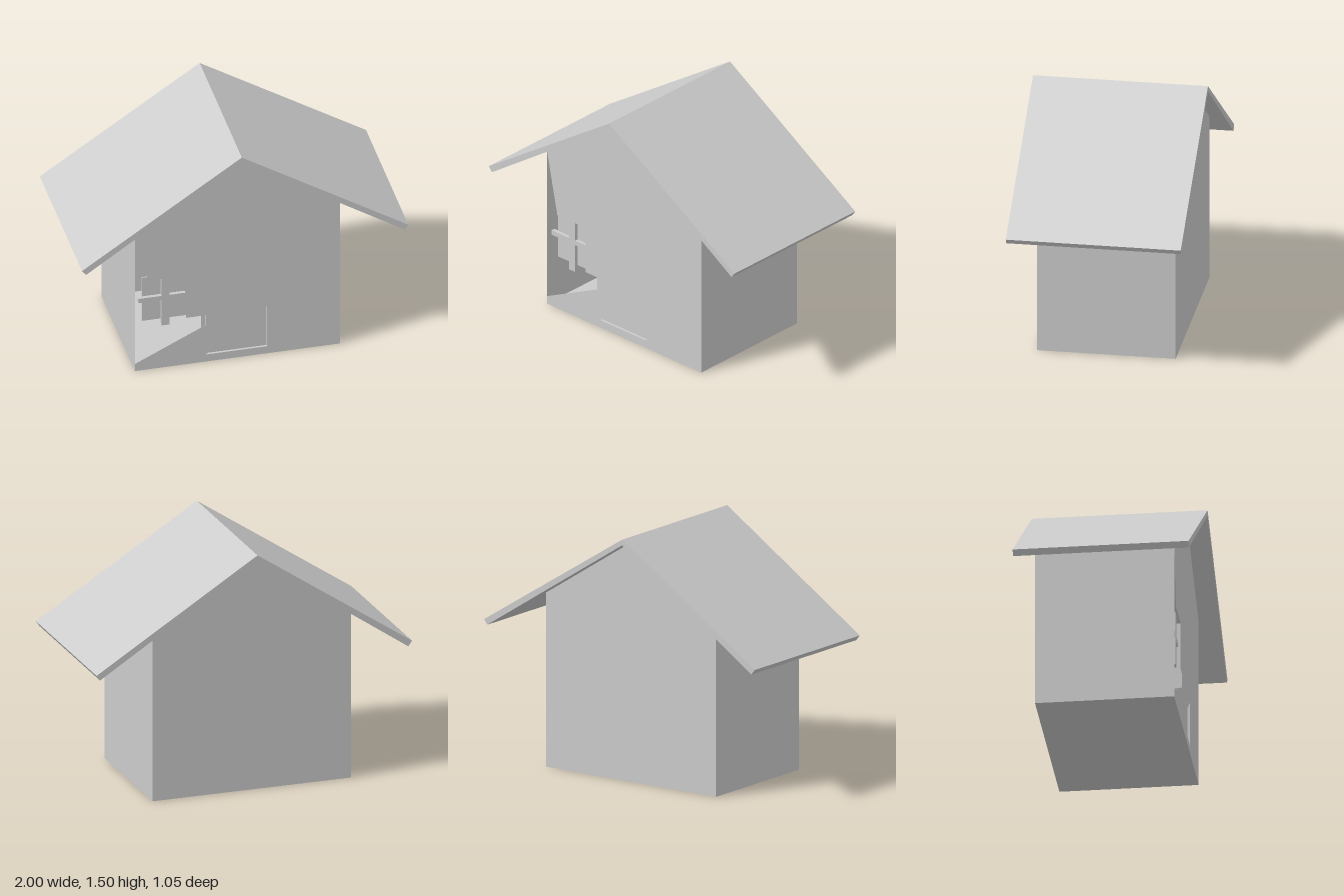
import * as THREE from 'three';

const FRONT = 0.4, BACK = -0.435;
const LEFT = -0.645, RIGHT = 0.612;

function polygon(points) {
  return new THREE.Shape(points.map(([x, y]) => new THREE.Vector2(x, y)));
}

export function createModel() {
  const group = new THREE.Group();
  const solid = new THREE.MeshStandardMaterial({ color: 0xcccccc, flatShading: true });
  const thin = new THREE.MeshStandardMaterial({ color: 0xcccccc, flatShading: true, side: THREE.DoubleSide });

  function add(name, geometry, material, x = 0, y = 0, z = 0) {
    const mesh = new THREE.Mesh(geometry, material);
    mesh.name = name;
    mesh.position.set(x, y, z);
    group.add(mesh);
    return mesh;
  }

  function box(name, x0, x1, y0, y1, z0, z1) {
    return add(name, new THREE.BoxGeometry(x1 - x0, y1 - y0, z1 - z0), solid,
      (x0 + x1) / 2, (y0 + y1) / 2, (z0 + z1) / 2);
  }

  // Gable roof: a bent slab running front to back
  const roof = polygon([
    [-1, 0.85], [-0.975, 0.818], [-0.02, 1.47], [0.978, 0.835], [1, 0.867], [-0.02, 1.505],
  ]);
  add('roof', new THREE.ExtrudeGeometry(roof, { depth: 1.055, bevelEnabled: false }), solid, 0, 0, -0.528);

  // Front wall with an open corner around the window and a recessed triangle
  const front = polygon([
    [LEFT, 0], [RIGHT, 0], [RIGHT, 1.068], [-0.02, 1.47], [LEFT, 1.043],
    [-0.56, 0.63], [-0.33, 0.63], [-0.33, 0.33], [-0.21, 0.33], [-0.21, 0.26], [LEFT, 0.05],
  ]);
  const doorCorners = [[-0.21, 0.05], [0.165, 0.05], [0.165, 0.335]];
  front.holes.push(polygon(doorCorners));
  add('frontWall', new THREE.ShapeGeometry(front), thin, 0, 0, FRONT);

  // Back wall
  const back = polygon([[LEFT, 0], [RIGHT, 0], [RIGHT, 1.068], [-0.02, 1.47], [LEFT, 1.043]]);
  add('backWall', new THREE.ShapeGeometry(back), thin, 0, 0, BACK);

  // Side walls and floor
  const depth = FRONT - BACK, midZ = (FRONT + BACK) / 2;
  for (const [name, x, height] of [['rightWall', LEFT, 1.043], ['leftWall', RIGHT, 1.068]]) {
    add(name, new THREE.PlaneGeometry(depth, height), thin, x, height / 2, midZ)
      .rotation.y = Math.sign(x) * Math.PI / 2;
  }
  add('floor', new THREE.PlaneGeometry(RIGHT - LEFT, depth), thin, (LEFT + RIGHT) / 2, 0, midZ)
    .rotation.x = Math.PI / 2;

  // Door panel set slightly behind the wall, and the strip of its frame
  add('doorPanel', new THREE.ExtrudeGeometry(polygon(doorCorners), { depth: 0.005, bevelEnabled: false }),
    solid, 0, 0, FRONT - 0.02);
  add('doorFrame', new THREE.ShapeGeometry(polygon([
    [-0.24, 0.245], [-0.21, 0.26], [-0.21, 0.333], [-0.24, 0.333],
  ])), thin, 0, 0, FRONT - 0.002);

  // Window pane with crossed glazing bars
  box('windowPane', -0.592, -0.31, 0.325, 0.632, 0.355, 0.362);
  box('windowBarVertical', -0.477, -0.43, 0.29, 0.632, 0.36, 0.387);
  box('windowBarHorizontal', -0.62, -0.33, 0.47, 0.5, 0.36, 0.385);

  return group;
}
